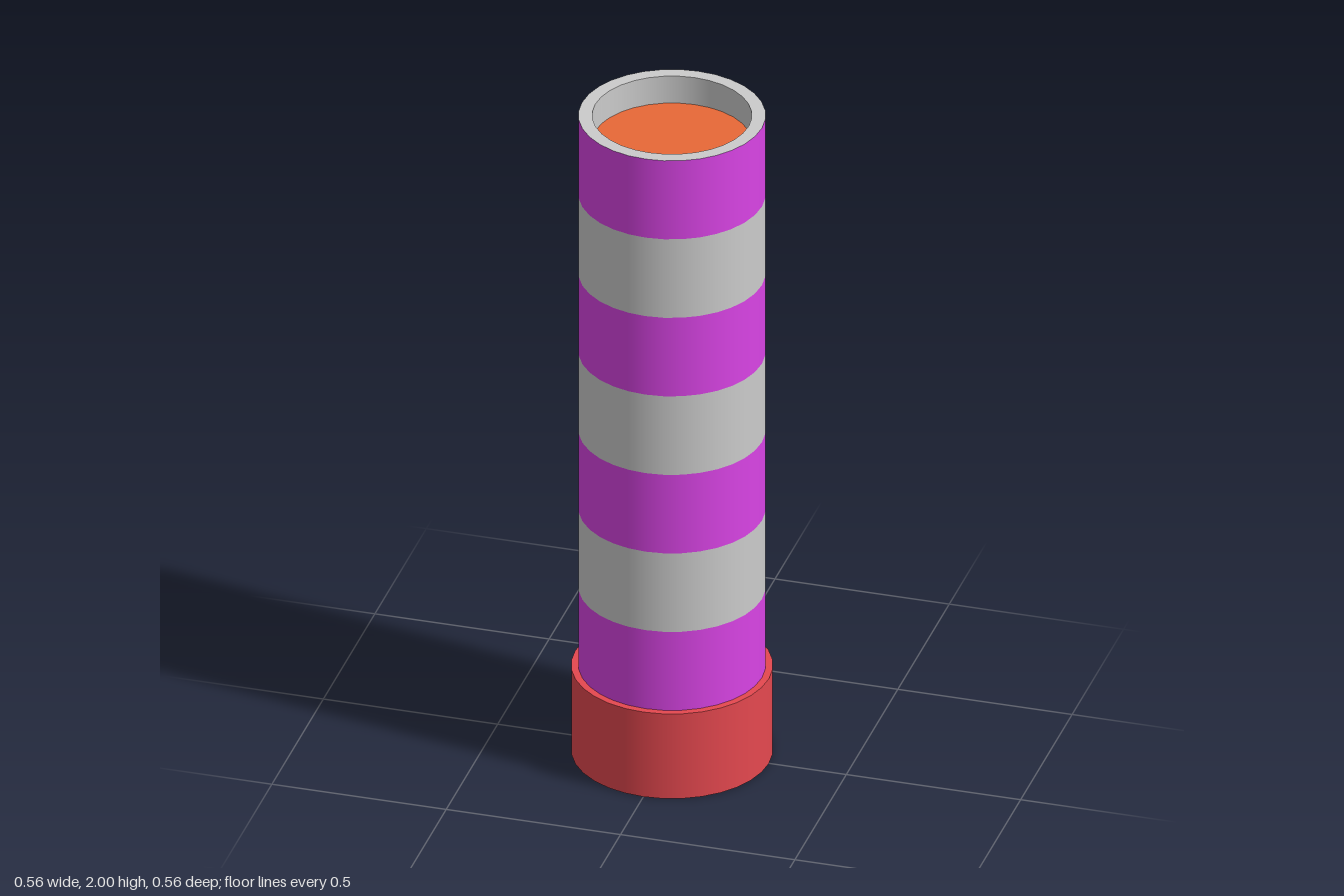
import * as THREE from 'three';

const SIDES = 32;
const BASE_TOP = 0.267, TOP = 2, FILL_LEVEL = 1.915;
const BASE_R = 0.278, OUTER_R = 0.258, INNER_R = 0.22;

const material = (color) => new THREE.MeshStandardMaterial({ color });

function addMesh(group, name, geometry, mat, y = 0) {
  const mesh = new THREE.Mesh(geometry, mat);
  mesh.name = name;
  mesh.position.y = y;
  group.add(mesh);
}

export function createModel() {
  const group = new THREE.Group();
  group.name = 'stripedTube';
  const grey = material(0xcccccc);
  const magenta = material(0xd944e5);

  // Wider solid base
  addMesh(group, 'base', new THREE.CylinderGeometry(BASE_R, BASE_R, BASE_TOP, SIDES),
    material(0xe5484f), BASE_TOP / 2);

  // Seven alternating bands form the outer wall
  const bands = 7, h = (TOP - BASE_TOP) / bands;
  for (let i = 0; i < bands; i++) {
    addMesh(group, i % 2 ? 'plainBand' : 'colouredBand',
      new THREE.CylinderGeometry(OUTER_R, OUTER_R, h, SIDES, 1, true),
      i % 2 ? grey : magenta, BASE_TOP + h * (i + 0.5));
  }

  // Flat rim around the mouth
  const rim = new THREE.RingGeometry(INNER_R, OUTER_R, SIDES).rotateX(-Math.PI / 2);
  addMesh(group, 'rim', rim, grey, TOP);

  // Inner wall, profile runs downwards so that it faces the axis
  const inner = new THREE.LatheGeometry(
    [new THREE.Vector2(INNER_R, TOP), new THREE.Vector2(INNER_R, FILL_LEVEL)], SIDES);
  addMesh(group, 'innerWall', inner, grey);

  // Filling set just below the rim
  const fill = new THREE.CircleGeometry(INNER_R, SIDES).rotateX(-Math.PI / 2);
  addMesh(group, 'filling', fill, material(0xe86837), FILL_LEVEL);

  return group;
}
